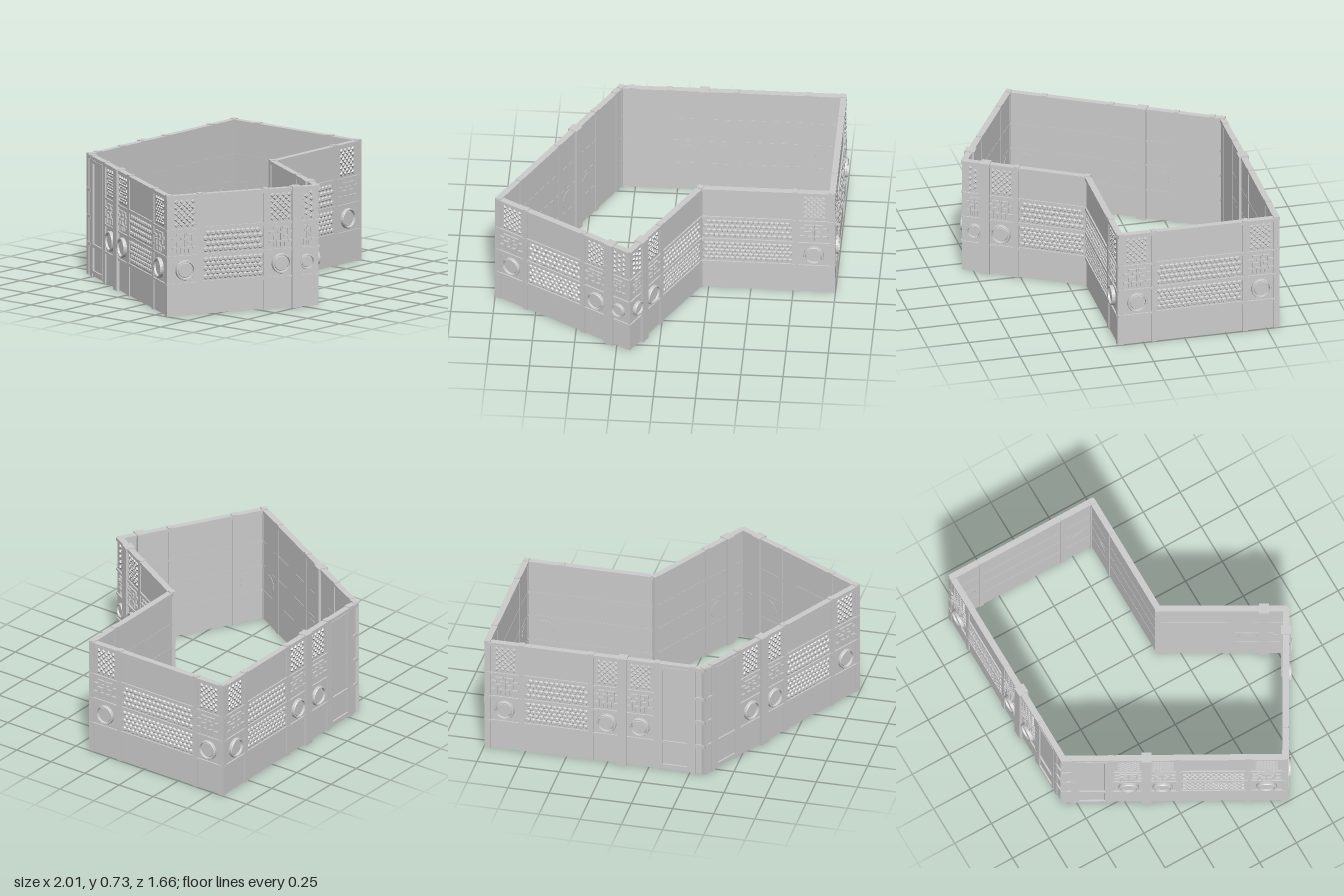
import * as THREE from 'three';
import { mergeGeometries } from 'three/addons/utils/BufferGeometryUtils.js';

const material = new THREE.MeshStandardMaterial({ color: 0xcccccc, flatShading: true });
const HEIGHT = 0.73, SKIN = 0.012; // wall height, half wall thickness
const RAILS = [0.19, 0.355, 0.515, 0.715];

// Corners in plan (x, z)
const C = {
  backLeft: [0.98, -0.81], backRight: [-0.335, -0.81], sideRight: [-0.975, 0.33],
  frontTip: [-0.175, 0.795], inner: [0.2, 0.14], sideLeft: [0.98, 0.14],
};

// Each wall: post positions along it (negative = wide post) and the bay kinds between them
const WALLS = [
  { name: 'backWall', from: 'backLeft', to: 'backRight', posts: [0.21, 0.63, -0.82, 1.03, 1.25], bays: 'ONOOTP'.replace('N', 'B') },
  { name: 'rightWall', from: 'backRight', to: 'sideRight', posts: [0.06, 0.28, -0.49, 0.68, 1.09], bays: 'PTOOBO' },
  { name: 'frontRightWall', from: 'sideRight', to: 'frontTip', posts: [0.195, 0.605, -0.795], bays: 'OBOO' },
  { name: 'recessWall', from: 'frontTip', to: 'inner', posts: [-0.13, 0.32], bays: 'OOB' },
  { name: 'frontLeftWall', from: 'inner', to: 'sideLeft', posts: [0.565], bays: 'BO' },
  { name: 'leftWall', from: 'sideLeft', to: 'backLeft', posts: [0.205, 0.76], bays: 'OBO' },
];

// Box spanning x0..x1, y0..y1, z0..z1
function box(x0, x1, y0, y1, z0, z1) {
  return new THREE.BoxGeometry(x1 - x0, y1 - y0, z1 - z0)
    .translate((x0 + x1) / 2, (y0 + y1) / 2, (z0 + z1) / 2);
}

function addMesh(group, name, parts) {
  if (!parts.length) return;
  const mesh = new THREE.Mesh(mergeGeometries(parts), material);
  mesh.name = name;
  group.add(mesh);
}

// Raised tiles in staggered rows: 6 sides for honeycomb, 4 for diamonds
function tiles(x0, x1, y0, y1, sides, size) {
  const out = [];
  const dx = sides === 6 ? size * 1.8 : size * 2.05;
  const dy = sides === 6 ? size * 1.56 : size * 1.03;
  const rows = Math.max(2, Math.floor((y1 - y0 - 2 * size) / dy) + 1);
  const stepY = (y1 - y0 - 2 * size) / (rows - 1);
  const cols = Math.max(1, Math.floor((x1 - x0 - 2 * size) / dx));
  const stepX = (x1 - x0 - 2 * size) / cols;
  for (let r = 0; r < rows; r++) {
    const odd = r % 2;
    for (let c = 0; c <= cols - odd; c++) {
      out.push(new THREE.CylinderGeometry(size * 0.6, size * 0.97, 0.008, sides, 1)
        .rotateX(Math.PI / 2)
        .translate(x0 + size + (c + odd / 2) * stepX, y0 + size + r * stepY, SKIN + 0.004));
    }
  }
  return out;
}

// Round boss with a raised rim and a flat face
function medallion(x, y, r) {
  const profile = [[0, 0.012], [0.7, 0.012], [0.74, 0.007], [0.8, 0.007], [0.84, 0.022], [0.96, 0.022], [1, 0.016], [1, -0.026]]
    .map(([k, h]) => new THREE.Vector2(k * r, h)).reverse();
  return new THREE.LatheGeometry(profile, 24).rotateX(Math.PI / 2).translate(x, y, SKIN);
}

// Square meander: strokes as [x, y, width, height] in a unit cell
const FRET = [
  [-0.5, 0.42, 0.42, 0.1], [0.08, 0.42, 0.42, 0.1], [-0.5, -0.5, 0.1, 0.6], [0.4, -0.1, 0.1, 0.6],
  [-0.5, 0, 0.35, 0.1], [0.15, 0, 0.35, 0.1], [-0.05, -0.5, 0.1, 1], [-0.3, -0.28, 0.6, 0.1],
  [-0.3, -0.5, 0.1, 0.3], [0.2, -0.5, 0.1, 0.3], [-0.25, 0.2, 0.5, 0.1],
  [-0.75, 0.2, 0.3, 0.1], [0.45, 0.2, 0.3, 0.1], [-0.75, -0.28, 0.3, 0.1], [0.45, -0.28, 0.3, 0.1],
];
function fret(x, y, w, h) {
  return FRET.map(([a, b, c, d]) =>
    box(x + a * w, x + (a + c) * w, y + b * h, y + (b + d) * h, SKIN - 0.001, SKIN + 0.011));
}

function buildWall({ name, from, to, posts, bays }) {
  const [ax, az] = C[from], [bx, bz] = C[to];
  const length = Math.hypot(bx - ax, bz - az);
  const wall = new THREE.Group();
  wall.name = name;
  wall.position.set(ax, 0, az);
  wall.rotation.y = Math.atan2(az - bz, bx - ax);

  // Extend past outer corners, stop short at the inward corner
  const start = from === 'inner' ? 0 : -0.01, end = to === 'inner' ? length : length + 0.01;
  addMesh(wall, 'panel', [box(start, end, 0.003, 0.722, -SKIN, SKIN)]);

  const uprights = [], honeycomb = [], diamonds = [], bosses = [], frets = [], rails = [], frames = [];
  for (const p of posts) {
    const w = p < 0 ? 0.029 : 0.0165, x = Math.abs(p);
    uprights.push(box(x - w, x + w, 0, HEIGHT, -w, w + 0.003));
  }

  const edges = [0, ...posts.map(Math.abs), length];
  [...bays].forEach((kind, i) => {
    const a = edges[i] + 0.018, b = edges[i + 1] - 0.018;
    const mid = (a + b) / 2, w = b - a;
    const left = i === 0 ? start : edges[i], right = i === bays.length - 1 ? end : edges[i + 1];
    if (kind === 'T') {
      // Tall framed plain panel
      const z0 = SKIN - 0.001, z1 = SKIN + 0.01;
      frames.push(box(a, a + 0.018, 0.03, 0.7, z0, z1), box(b - 0.018, b, 0.03, 0.7, z0, z1),
        box(a, b, 0.685, 0.705, z0, z1), box(a, b, 0.18, 0.2, z0, z1), box(a, b, 0.02, 0.04, z0, z1));
      rails.push(box(left, right, 0.705, 0.725, -0.0165, 0.0185));
      return;
    }
    // Horizontal rails, just breaking through the inner face
    RAILS.forEach((y, k) => {
      const h = kind === 'O' && k < 3 ? 0.006 : 0.01;
      rails.push(box(left, right, y - h, y + h, k === 3 ? -0.0165 : -0.0135, 0.021));
    });
    if (kind === 'B') {
      honeycomb.push(...tiles(a, b, 0.205, 0.342, 6, 0.0165), ...tiles(a, b, 0.37, 0.502, 6, 0.0165));
    } else if (kind === 'O') {
      const r = Math.min(0.06, w * 0.48);
      bosses.push(medallion(mid, 0.273, r));
      frets.push(...fret(mid, 0.433, Math.min(0.11, w * 0.66), 0.115));
      const half = Math.min(0.068, w / 2);
      diamonds.push(...tiles(mid - half, mid + half, 0.53, 0.7, 4, 0.0155));
    }
  });

  addMesh(wall, 'posts', uprights);
  addMesh(wall, 'rails', rails);
  addMesh(wall, 'honeycombBands', honeycomb);
  addMesh(wall, 'diamondLattices', diamonds);
  addMesh(wall, 'medallions', bosses);
  addMesh(wall, 'frets', frets);
  addMesh(wall, 'tallPanelFrame', frames);
  return wall;
}

export function createModel() {
  const model = new THREE.Group();
  model.name = 'walledEnclosure';
  for (const wall of WALLS) model.add(buildWall(wall));

  // Square posts on the corners, turned to follow a wall
  const turns = { backLeft: 0, backRight: Math.PI / 6, sideRight: Math.PI / 6, inner: Math.PI / 6, sideLeft: 0 };
  for (const [corner, turn] of Object.entries(turns)) {
    const w = 0.0175;
    const post = new THREE.Mesh(box(-w, w, 0, HEIGHT, -w, w), material);
    post.name = corner + 'CornerPost';
    post.position.set(C[corner][0], 0, C[corner][1]);
    post.rotation.y = -turn;
    model.add(post);
  }
  return model;
}
